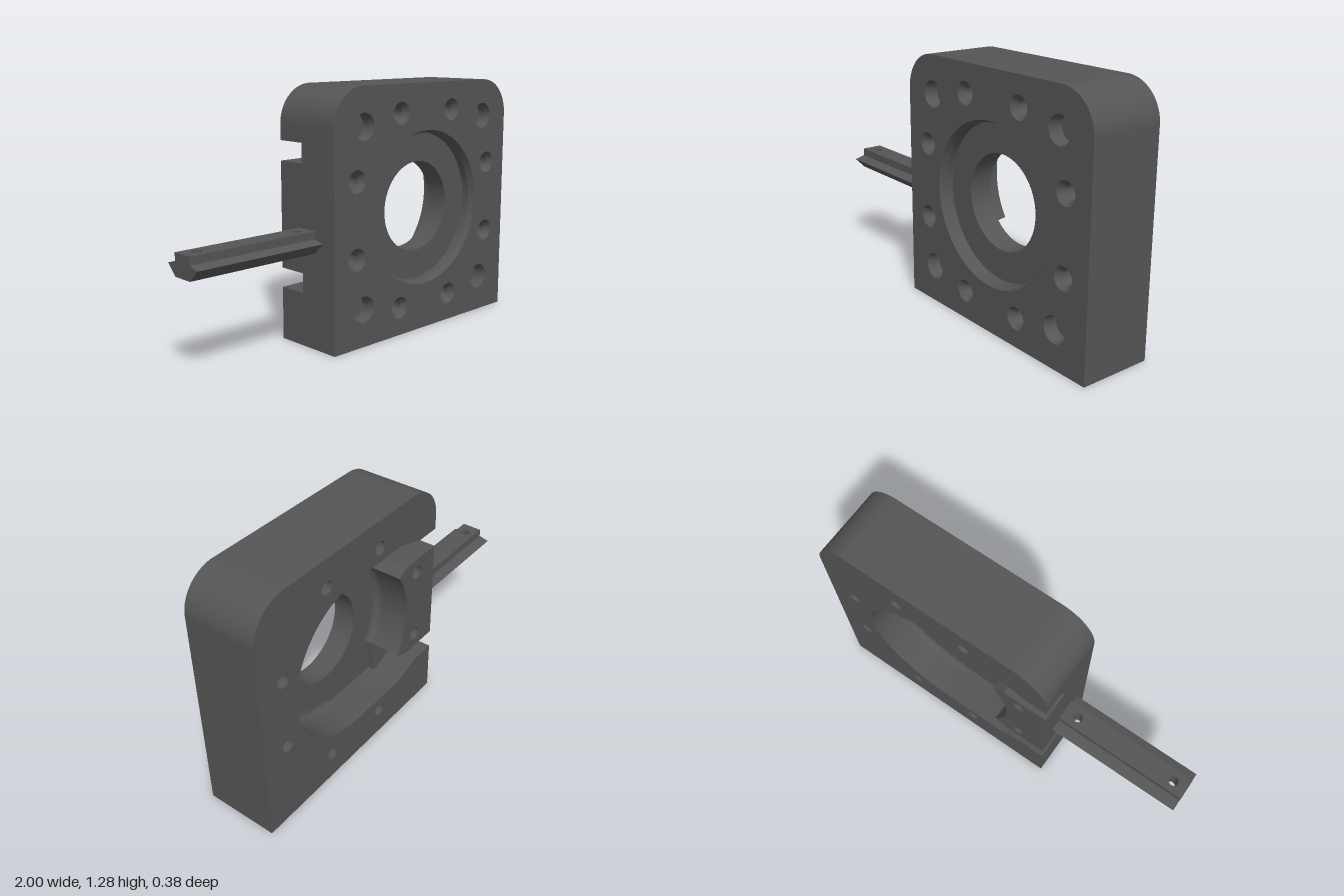
import * as THREE from 'three';
import { toCreasedNormals } from 'three/addons/utils/BufferGeometryUtils.js';

const CX = 0.355, CY = 0.64;             // bore axis
const L = -0.29, R = 1, TOP = 1.28, HZ = 0.19, FOOT = 0.07, CORNER = 0.19;
const POCKET = 0.42, FILLET = 0.035, TIP = 0.6;

const circle = (x, y, r) => new THREE.Path().absarc(x, y, r, 0, Math.PI * 2, true);

function polygon(points) {
  return new THREE.Shape(points.map(([x, y]) => new THREE.Vector2(x, y)));
}

// Block outline with rounded top corners, resting on the foot
function blockOutline() {
  const s = new THREE.Shape();
  s.moveTo(L, FOOT);
  s.lineTo(R, FOOT);
  s.lineTo(R, TOP - CORNER);
  s.absarc(R - CORNER, TOP - CORNER, CORNER, 0, Math.PI / 2, false);
  s.lineTo(L + CORNER, TOP);
  s.absarc(L + CORNER, TOP - CORNER, CORNER, Math.PI / 2, Math.PI, false);
  s.closePath();
  return s;
}

export function createModel() {
  const group = new THREE.Group();
  const metal = new THREE.MeshStandardMaterial({ color: 0x555555, side: THREE.DoubleSide });
  metal.name = 'dark metal';

  const add = (name, geometry) => {
    const mesh = new THREE.Mesh(geometry, metal);
    mesh.name = name;
    group.add(mesh);
    return mesh;
  };
  const extrude = (shape, depth) => toCreasedNormals(
    new THREE.ExtrudeGeometry(shape, { depth, bevelEnabled: false, curveSegments: 40 }), 0.5);
  // Slice of the block between two z values
  const slice = (name, shape, z0, z1, holes) => {
    shape.holes.push(...holes);
    add(name, extrude(shape, z1 - z0).translate(0, 0, z0));
  };
  // Chamfer inside a hole: wide at the +y end, before turning
  const cone = (wide, narrow, h) => new THREE.CylinderGeometry(wide, narrow, h, 48, 1, true);

  // Hole positions
  const screws = [], dowels = [];
  for (const sx of [-1, 1]) for (const sy of [-1, 1]) {
    screws.push([CX + sx * 0.19, CY + sy * 0.495], [CX + sx * 0.495, CY + sy * 0.19]);
    dowels.push([CX + sx * 0.448, CY + sy * 0.448]);
  }
  const drill = (list, r) => list.map(([x, y]) => circle(x, y, r));
  const inIsland = ([x]) => x < 0;

  // Front slices: chamfered openings, recess, bore plate
  slice('frontFace', blockOutline(), 0.16, HZ,
    [circle(CX, CY, 0.4), ...drill(screws, 0.057), ...drill(dowels, 0.067)]);
  slice('recessWall', blockOutline(), 0.12, 0.16,
    [circle(CX, CY, 0.385), ...drill(screws, 0.035), ...drill(dowels, 0.06)]);
  slice('borePlate', blockOutline(), 0, 0.12,
    [circle(CX, CY, 0.235), ...drill(screws, 0.035)]);

  const chamfer = (name, x, y, wide, narrow) =>
    add(name, cone(wide, narrow, 0.03).rotateX(Math.PI / 2).translate(x, y, 0.175));
  chamfer('recessChamfer', CX, CY, 0.4, 0.385);
  screws.forEach(([x, y]) => chamfer('screwCountersink', x, y, 0.057, 0.035));
  dowels.forEach(([x, y]) => chamfer('dowelChamfer', x, y, 0.067, 0.06));

  // Lower part of the rear pocket, closed by the island arc
  const floorPocket = new THREE.Path();
  floorPocket.moveTo(0, CY + POCKET);
  floorPocket.lineTo(CX, CY + POCKET);
  floorPocket.absarc(CX, CY, POCKET, Math.PI / 2, -Math.PI / 2, true);
  floorPocket.lineTo(0, CY - POCKET);
  floorPocket.absarc(CX, CY, POCKET, Math.PI + TIP, Math.PI - TIP, true);
  floorPocket.closePath();
  slice('pocketFloorWall', blockOutline(), -FILLET, 0, [floorPocket, ...drill(screws, 0.035)]);

  // Rear wall around the pocket, open to two side channels
  const wall = new THREE.Shape();
  wall.moveTo(L, FOOT);
  wall.lineTo(R, FOOT);
  wall.lineTo(R, TOP - CORNER);
  wall.absarc(R - CORNER, TOP - CORNER, CORNER, 0, Math.PI / 2, false);
  wall.lineTo(L + CORNER, TOP);
  wall.absarc(L + CORNER, TOP - CORNER, CORNER, Math.PI / 2, Math.PI, false);
  wall.lineTo(L, 1.01);
  wall.lineTo(-0.16, 1.01);
  wall.lineTo(0, CY + POCKET);
  wall.lineTo(CX, CY + POCKET);
  wall.absarc(CX, CY, POCKET, Math.PI / 2, -Math.PI / 2, true);
  wall.lineTo(0, CY - POCKET);
  wall.lineTo(-0.16, 0.27);
  wall.lineTo(L, 0.27);
  wall.closePath();
  slice('pocketWall', wall, -HZ, -FILLET,
    drill(screws.filter(s => !inIsland(s)), 0.035));

  // Island between the channels
  const island = new THREE.Shape();
  island.moveTo(L, 0.37);
  island.lineTo(-0.05, 0.37);
  island.absarc(CX, CY, POCKET, Math.PI + TIP, Math.PI - TIP, true);
  island.lineTo(-0.05, 0.91);
  island.lineTo(L, 0.91);
  island.closePath();
  slice('pocketIsland', island, -HZ, -FILLET, drill(screws.filter(inIsland), 0.035));

  // Rounded foot of the pocket wall
  const filletProfile = [];
  for (let i = 0; i <= 6; i++) {
    const t = i / 6 * Math.PI / 2;
    filletProfile.push(new THREE.Vector2(
      POCKET - FILLET + FILLET * Math.sin(t), -FILLET + FILLET * Math.cos(t)));
  }
  for (const [start, sweep] of [[0, Math.PI], [Math.PI * 1.5 - TIP, TIP * 2]]) {
    add('pocketFillet', new THREE.LatheGeometry(filletProfile, 40, start, sweep)
      .rotateX(Math.PI / 2).translate(CX, CY, 0));
  }

  // Foot with three blind mounting holes underneath
  const footX = [CX - 0.562, CX, CX + 0.562];
  for (const [y0, y1, r] of [[0, 0.015, 0.05], [0.015, FOOT, 0.036]]) {
    const s = polygon([[L, -HZ], [R, -HZ], [R, HZ], [L, HZ]]);
    s.holes.push(...footX.map(x => circle(x, 0, r)));
    add('foot', extrude(s, y1 - y0).rotateX(-Math.PI / 2).translate(0, y0, 0));
  }
  footX.forEach(x => add('footHoleChamfer', cone(0.036, 0.05, 0.015).translate(x, 0.0075, 0)));

  // Side rail: drilled centre bar with a V-shaped wing on each side
  const bar = polygon([[-1, -0.055], [L, -0.055], [L, 0.055], [-1, 0.055]]);
  bar.holes.push(circle(-0.925, 0, 0.024), circle(-0.365, 0, 0.024));
  add('railBar', extrude(bar, 0.11).rotateX(-Math.PI / 2).translate(0, 0.485, 0));
  for (const s of [-1, 1]) {
    const wing = polygon([[s * 0.055, 0.485], [s * 0.11, 0.54], [s * 0.055, 0.555]]);
    add('railWing', extrude(wing, L + 1).rotateY(Math.PI / 2).translate(-1, 0, 0));
  }

  return group;
}
